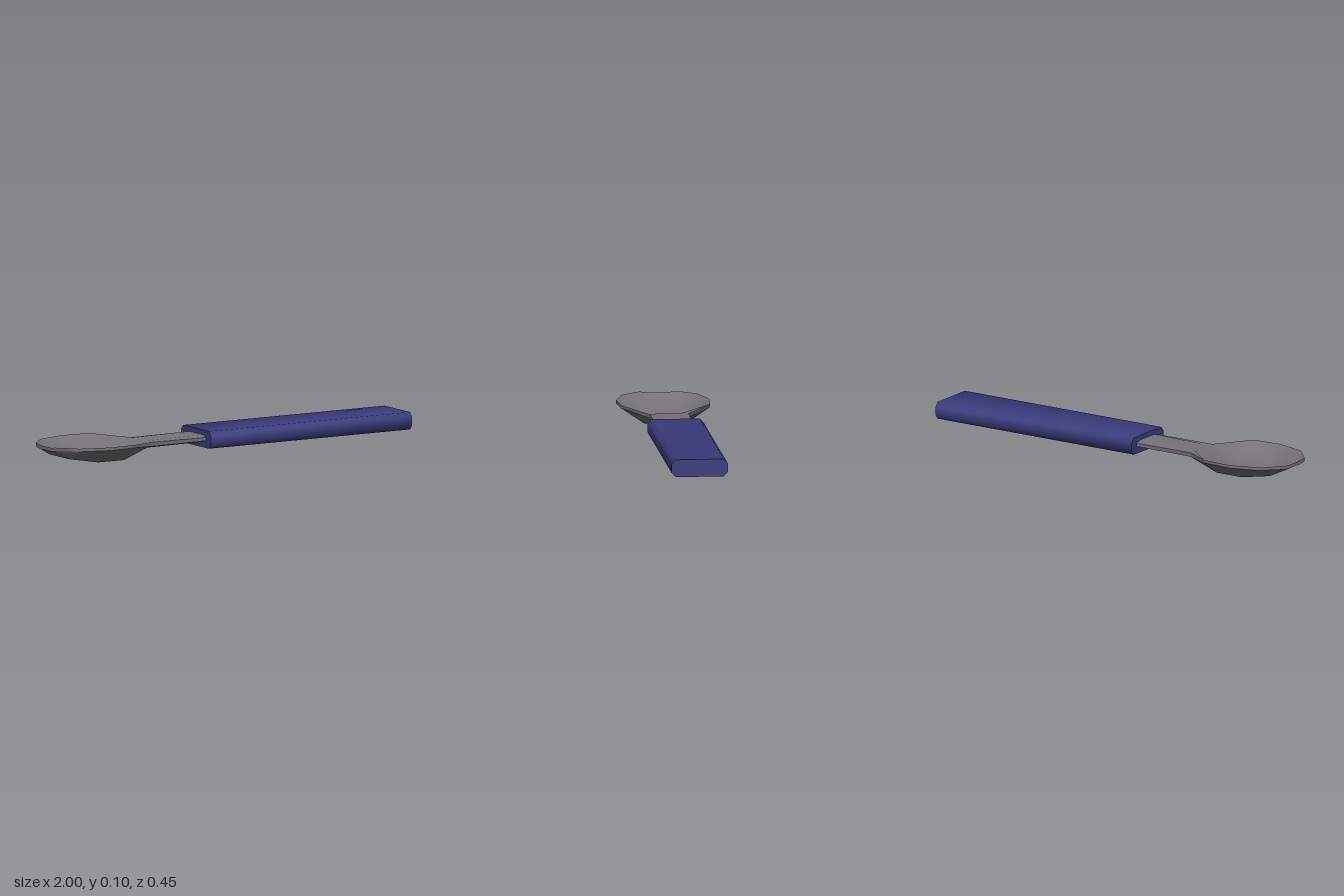
import * as THREE from 'three';
import { toCreasedNormals } from 'three/addons/utils/BufferGeometryUtils.js';

// Cross-sections along x: [x, half width, rim top, rim underside, floor half width, floor top, bottom]
const SECTIONS = [
  [-1.0, 0.09, 0.09, 0.072, 0.05, 0.084, 0.066],
  [-0.92, 0.18, 0.09, 0.075, 0.09, 0.042, 0.027],
  [-0.77, 0.226, 0.09, 0.075, 0.11, 0.018, 0.002],
  [-0.62, 0.216, 0.09, 0.075, 0.105, 0.02, 0.0],
  [-0.46, 0.094, 0.072, 0.052, 0.06, 0.075, 0.042],
  [-0.1, 0.094, 0.07, 0.054, 0.06, 0.08, 0.045],
];

// Closed loft of eight-point rings: hollow bowl running into a flat stem
function spoonGeometry() {
  const rings = SECTIONS.map(([x, w, rim, under, f, floor, bottom]) =>
    [[-w, rim], [-f, floor], [f, floor], [w, rim], [w, under], [f, bottom], [-f, bottom], [-w, under]]
      .map(([z, y]) => [x, y, z]));
  const pos = [];
  const quad = (a, b, c, d) => pos.push(...a, ...b, ...c, ...a, ...c, ...d);
  for (let i = 0; i < rings.length - 1; i++) {
    for (let j = 0; j < 8; j++) {
      const k = (j + 1) % 8;
      quad(rings[i][j], rings[i][k], rings[i + 1][k], rings[i + 1][j]);
    }
  }
  // End caps
  const first = rings[0], last = rings[rings.length - 1];
  for (let k = 0; k < 3; k++) {
    quad(first[7 - k], first[6 - k], first[k + 1], first[k]);
    quad(last[k], last[k + 1], last[6 - k], last[7 - k]);
  }
  const geo = new THREE.BufferGeometry();
  geo.setAttribute('position', new THREE.Float32BufferAttribute(pos, 3));
  return toCreasedNormals(geo, 0.95);
}

// Chamfered bar extruded along x
function handleGeometry() {
  const w = 0.137, c = 0.02, low = 0.018, high = 0.103, cy = 0.022;
  const shape = new THREE.Shape([
    [-w, low + cy], [-w + c, low], [w - c, low], [w, low + cy],
    [w, high - cy], [w - c, high], [-w + c, high], [-w, high - cy],
  ].map(([x, y]) => new THREE.Vector2(x, y)));
  const geo = new THREE.ExtrudeGeometry(shape, { depth: 1.145, bevelEnabled: false });
  geo.rotateY(Math.PI / 2).translate(-0.145, 0, 0);
  return toCreasedNormals(geo, 1.0);
}

export function createModel() {
  const metal = new THREE.MeshStandardMaterial({ color: 0x767376 });
  metal.name = 'grey metal';
  const blue = new THREE.MeshStandardMaterial({ color: 0x3a3a7c });
  blue.name = 'dark blue';

  const group = new THREE.Group();
  group.name = 'spoon';
  const add = (name, geometry, material) => {
    const mesh = new THREE.Mesh(geometry, material);
    mesh.name = name;
    group.add(mesh);
  };
  add('bowlAndStem', spoonGeometry(), metal);
  add('handle', handleGeometry(), blue);
  return group;
}
